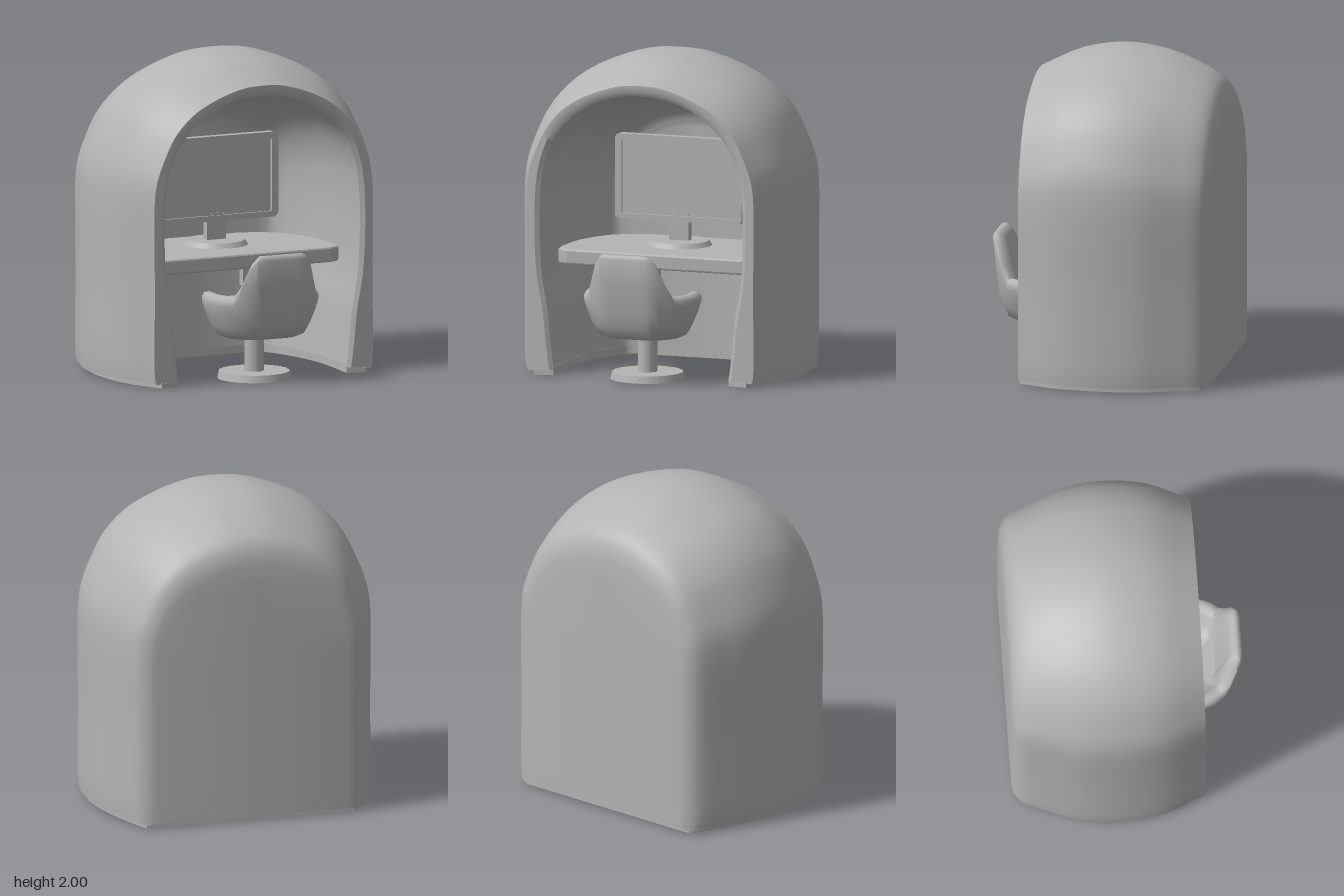
import * as THREE from 'three';
import { toCreasedNormals } from 'three/addons/utils/BufferGeometryUtils.js';

const grey = new THREE.MeshStandardMaterial({ color: 0xb4b4b4 });
grey.name = 'light grey';

function add(parent, name, geometry, x = 0, y = 0, z = 0) {
  const mesh = new THREE.Mesh(geometry, grey);
  mesh.name = name;
  mesh.position.set(x, y, z);
  parent.add(mesh);
  return mesh;
}

// Skin a list of rows that all have the same number of points
function loft(rows, crease = 0.6) {
  const n = rows[0].length;
  const index = [];
  for (let i = 0; i < rows.length - 1; i++) {
    for (let j = 0; j < n - 1; j++) {
      const a = i * n + j, b = a + 1, c = a + n, d = c + 1;
      index.push(a, b, c, b, d, c);
    }
  }
  const geometry = new THREE.BufferGeometry();
  geometry.setAttribute('position', new THREE.Float32BufferAttribute(rows.flat(2), 3));
  geometry.setIndex(index);
  return toCreasedNormals(geometry, crease);
}

// Full arch, from the +x foot over the top to the -x foot
function arch(half) {
  const curve = new THREE.CatmullRomCurve3(half.map(([x, y]) => new THREE.Vector3(x, y, 0)), false, 'centripetal');
  const pts = curve.getSpacedPoints(40).map((p) => [p.x, p.y]);
  return [...pts, ...pts.slice(0, -1).reverse().map(([x, y]) => [-x, y])];
}

// Arch narrowed to w, with the part above the spring line squeezed to height h
function section(profile, top, w, h, z) {
  const spring = 1;
  return profile.map(([x, y]) => [x * w, y < spring ? y : spring + (y - spring) * (h - spring) / (top - spring), z]);
}

function smoothSections(list, count) {
  const curve = new THREE.CatmullRomCurve3(list.map((s) => new THREE.Vector3(...s)), false, 'centripetal');
  return curve.getPoints(count);
}

// Flat slab from an outline of [x, z] points
function slab(outline, y0, y1, bevel = 0) {
  const shape = new THREE.Shape(outline.map(([x, z]) => new THREE.Vector2(x, -z)));
  const geometry = new THREE.ExtrudeGeometry(shape, {
    depth: y1 - y0 - 2 * bevel, bevelEnabled: bevel > 0,
    bevelSize: bevel, bevelThickness: bevel, bevelOffset: -bevel, bevelSegments: 2,
  });
  return geometry.rotateX(-Math.PI / 2).translate(0, y0 + bevel, 0);
}

const mirrored = (side) => [...side, ...side.slice().reverse().map(([x, z]) => [-x, z])];

function roundedRect(path, w, h, r) {
  const x = w / 2, y = h / 2;
  path.moveTo(-x + r, -y);
  path.lineTo(x - r, -y); path.quadraticCurveTo(x, -y, x, -y + r);
  path.lineTo(x, y - r); path.quadraticCurveTo(x, y, x - r, y);
  path.lineTo(-x + r, y); path.quadraticCurveTo(-x, y, -x, y - r);
  path.lineTo(-x, -y + r); path.quadraticCurveTo(-x, -y, -x + r, -y);
  return path;
}

function buildPod(group) {
  const outer = arch([[0.885, 0.035], [0.89, 0.07], [0.89, 0.6], [0.89, 1.2], [0.87, 1.34], [0.81, 1.5],
    [0.72, 1.67], [0.57, 1.82], [0.38, 1.92], [0.15, 1.99], [0, 2]]);
  const opening = arch([[0.58, 0.035], [0.6, 0.2], [0.62, 0.4], [0.655, 0.6], [0.67, 0.8], [0.67, 1.1],
    [0.645, 1.3], [0.58, 1.47], [0.46, 1.61], [0.28, 1.72], [0.1, 1.765], [0, 1.77]]);

  // Width factor, crown height, z
  const outside = smoothSections([[0.68, 1.56, -0.73], [0.75, 1.7, -0.715], [0.82, 1.8, -0.665], [0.9, 1.9, -0.5],
    [0.975, 1.97, -0.3], [1, 2, -0.07], [0.965, 1.96, 0.2], [0.843, 1.84, 0.46]], 28);
  const inside = smoothSections([[1, 1.77, 0.44], [1.04, 1.78, 0.2], [1.05, 1.77, 0], [1.01, 1.72, -0.2],
    [0.92, 1.63, -0.4], [0.82, 1.53, -0.51], [0.7, 1.45, -0.54]], 24);

  const rows = [
    section(outer, 2, 0, 1.56, -0.73),
    ...outside.map((s) => section(outer, 2, s.x, s.y, s.z)),
    section(opening, 1.77, 1.04, 1.8, 0.46),
    ...inside.map((s) => section(opening, 1.77, s.x, s.y, s.z)),
    section(opening, 1.77, 0, 1.45, -0.54),
  ];
  add(group, 'podShell', loft(rows));

  // U-shaped underside and the recessed plinth below it
  const outSide = (k) => outside.slice().reverse().map((s) => [s.x * 0.89 * k, Math.max(s.z, -0.73 * k)]);
  const inSide = inside.map((s) => [s.x * 0.58, s.z]);
  const footprint = (k) => [...mirrored(outSide(k)), ...mirrored(inSide.map(([x, z]) => [-x, z]))];
  add(group, 'podUnderside', slab(footprint(0.985), 0.025, 0.05));
  add(group, 'podPlinth', slab(footprint(0.935), 0, 0.03));
}

function buildDesk(group) {
  const side = [[0.58, 0.23], [0.645, 0.2], [0.665, 0.1], [0.665, 0], [0.655, -0.15], [0.61, -0.3], [0.54, -0.42], [0.42, -0.5], [0.3, -0.53]];
  add(group, 'deskTop', slab(mirrored(side), 0.66, 0.755, 0.012));
  add(group, 'deskBracket', new THREE.BoxGeometry(0.05, 0.12, 0.05), 0, 0.615, 0.2);
}

function buildMonitor(group) {
  const monitor = new THREE.Group();
  monitor.name = 'monitor';
  monitor.position.set(0, 0, -0.2);
  group.add(monitor);
  const frame = roundedRect(new THREE.Shape(), 0.84, 0.53, 0.04);
  frame.holes.push(roundedRect(new THREE.Path(), 0.75, 0.46, 0.015));
  const bezel = new THREE.ExtrudeGeometry(frame, { depth: 0.05, bevelEnabled: false });
  add(monitor, 'monitorBezel', bezel, 0, 1.165, -0.025);
  add(monitor, 'monitorScreen', new THREE.BoxGeometry(0.77, 0.48, 0.03), 0, 1.165, -0.005);
  add(monitor, 'monitorPost', new THREE.BoxGeometry(0.13, 0.2, 0.05), 0, 0.85, -0.01);
  add(monitor, 'monitorBase', new THREE.CylinderGeometry(0.18, 0.2, 0.03, 24), 0, 0.77, 0);
}

function buildChair(group) {
  const chair = new THREE.Group();
  chair.name = 'chair';
  group.add(chair);
  add(chair, 'chairBase', new THREE.CylinderGeometry(0.22, 0.23, 0.045, 20), 0, 0.0225, 0.33);
  add(chair, 'chairPost', new THREE.CylinderGeometry(0.06, 0.06, 0.27, 16), 0, 0.17, 0.33);

  // Bucket seat: rings whose rim rises into the flat backrest and dips at the front
  const step = THREE.MathUtils.smoothstep;
  const rim = (c) => 0.48 + 0.08 * step(c, -0.9, -0.3) + 0.26 * step(c, 0.62, 0.86);
  const ring = (r, height) => {
    const points = [];
    for (let j = 0; j <= 48; j++) {
      const t = (j / 48) * Math.PI * 2, c = Math.cos(t);
      const y = height(rim(c));
      const lean = Math.max(0, y - 0.55) * 0.12;
      const x = 0.365 * r * Math.sin(t) * (1 - Math.max(0, y - 0.58) * 0.4);
      const depth = c > 0 ? 0.28 * Math.min(1, c * 1.12) : 0.36 * c;
      points.push([x, y, 0.42 + r * depth + lean]);
    }
    return points;
  };
  const rings = [
    ring(0, () => 0.28), ring(0.66, () => 0.28), ring(0.76, () => 0.295), ring(0.86, () => 0.36),
    ring(0.95, () => 0.44), ring(1, (h) => (0.44 + h) / 2), ring(1, (h) => h - 0.03), ring(0.96, (h) => h - 0.006),
    ring(0.88, (h) => h), ring(0.79, (h) => h - 0.01), ring(0.73, (h) => h - 0.04),
    ring(0.65, (h) => 0.44 + (h - 0.47) * 0.4), ring(0.52, () => 0.435), ring(0, () => 0.43),
  ];
  add(chair, 'bucketSeat', loft(rings, 1));
}

export function createModel() {
  const group = new THREE.Group();
  group.name = 'workPod';
  buildPod(group);
  buildDesk(group);
  buildMonitor(group);
  buildChair(group);
  return group;
}
